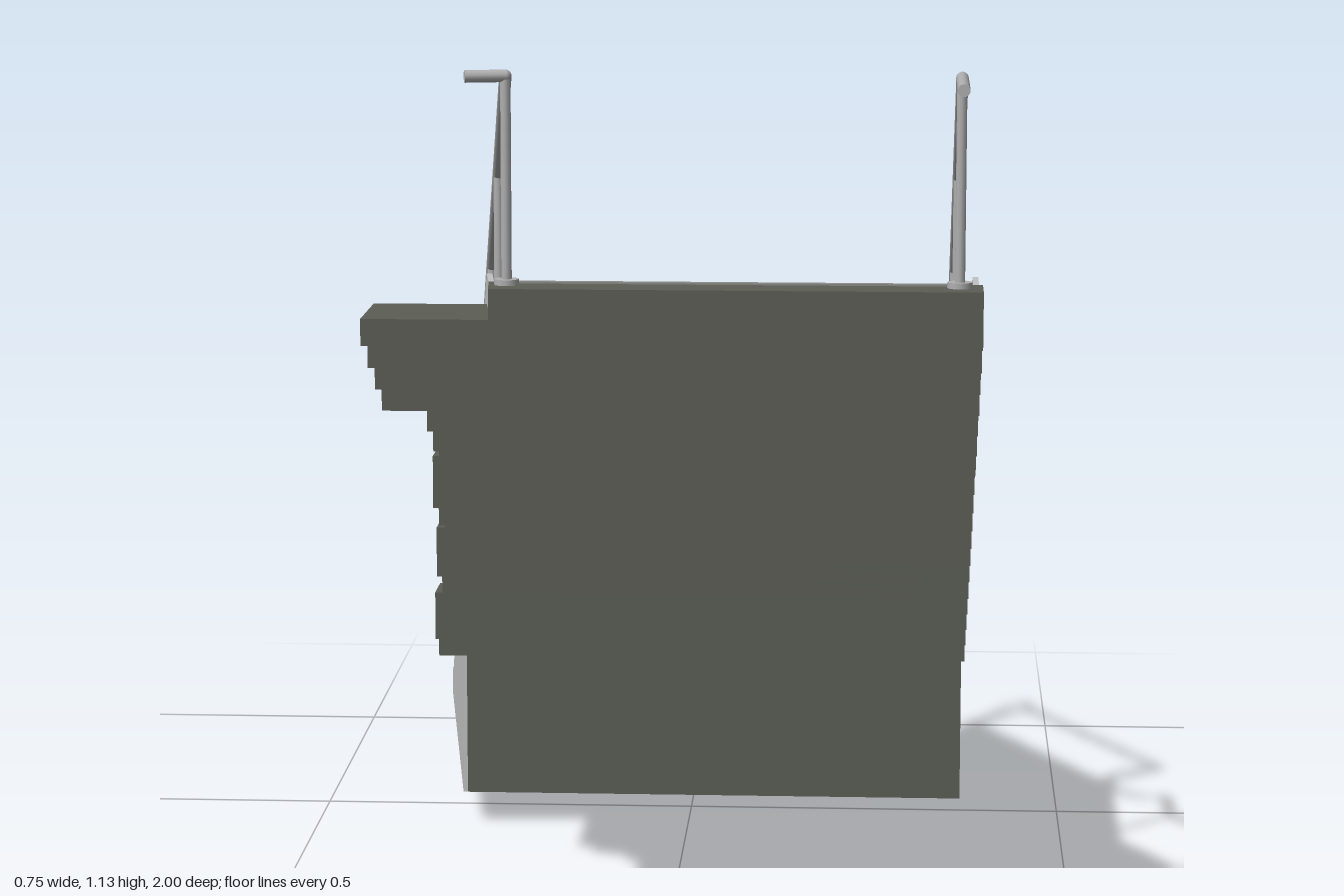
import * as THREE from 'three';

const concrete = new THREE.MeshStandardMaterial({ color: 0x5c5e56 });
concrete.name = 'dark concrete';
const plateSteel = new THREE.MeshStandardMaterial({ color: 0xc2c2c2 });
plateSteel.name = 'light steel plate';
const railSteel = new THREE.MeshStandardMaterial({ color: 0xb0b0b0 });
railSteel.name = 'rail steel';
const nosingGrey = new THREE.MeshStandardMaterial({ color: 0x8c8c88 });
nosingGrey.name = 'nosing grey';

const RISE = 0.032, RUN = 0.058, TOP = 0.905, FRONT = 0.89, RIGHT = 0.366;
const LAND_Y = 0.361, LAND_FRONT = -0.096, LAND_BACK = -0.4, FLOOR = 0.042;

// The right-hand side of the stair runs at a slant
const slantX = (z) => -0.298 + 0.129 * (z + 0.4);

function add(parent, name, geometry, material) {
  const mesh = new THREE.Mesh(geometry, material);
  mesh.name = name;
  parent.add(mesh);
  return mesh;
}

// Vertical prism between z0 (front) and z1 (back), with its own x limit at each end
function slab(parent, name, xa, xb, z0, z1, y0, y1, material = concrete, right = RIGHT) {
  const shape = new THREE.Shape([[xa, -z0], [right, -z0], [right, -z1], [xb, -z1]].map((p) => new THREE.Vector2(...p)));
  const g = new THREE.ExtrudeGeometry(shape, { depth: y1 - y0, bevelEnabled: false });
  g.rotateX(-Math.PI / 2);
  g.translate(0, y0, 0);
  return add(parent, name, g, material);
}

// Thin upright plate with a z-y outline, placed along the line x = lineX(z)
function sidePlate(parent, name, outline, lineX) {
  const shape = new THREE.Shape(outline.map((p) => new THREE.Vector2(...p)));
  const g = new THREE.ExtrudeGeometry(shape, { depth: 0.006, bevelEnabled: false });
  g.rotateY(-Math.PI / 2);
  const pos = g.attributes.position;
  for (let i = 0; i < pos.count; i++) pos.setX(i, pos.getX(i) + lineX(pos.getZ(i)));
  g.computeVertexNormals();
  return add(parent, name, g, plateSteel);
}

// Round bar from a to b
function bar(parent, name, a, b, r) {
  const d = b.clone().sub(a);
  const m = add(parent, name, new THREE.CylinderGeometry(r, r, d.length(), 10), railSteel);
  m.position.copy(a).addScaledVector(d, 0.5);
  m.quaternion.setFromUnitVectors(new THREE.Vector3(0, 1, 0), d.normalize());
}

// Chain of bars with round joints
function handrail(parent, name, points, r) {
  points.forEach((p, i) => {
    if (i === 0) return;
    bar(parent, name, points[i - 1], p, r);
    if (i < points.length - 1) add(parent, name + 'Joint', new THREE.SphereGeometry(r, 10, 8), railSteel).position.copy(p);
  });
}

// Height of the handrail, and of the walking surface, at a given z
function railY(z) {
  if (z >= 0.855) return 1.12;
  if (z >= -0.125) return 0.575 + (z + 0.125) * (0.545 / 0.98);
  if (z >= -0.385) return 0.575;
  return 0.575 + (z + 0.385) * (0.32 / 0.555);
}
function treadY(z) {
  if (z > LAND_FRONT) return TOP - RISE * Math.floor((FRONT - z) / RUN);
  if (z > LAND_BACK) return LAND_Y;
  return Math.max(FLOOR, LAND_Y - RISE * (Math.floor((LAND_BACK - z) / RUN) + 1));
}

function nosing(parent, xa, z, y) {
  slab(parent, 'nosing', xa, xa, z + 0.014, z + 0.006, y, y + 0.002, nosingGrey, 0.35);
}

export function createModel() {
  const model = new THREE.Group();
  model.name = 'staircase';

  // Upper flight: a stepped slab with ragged right-hand ends
  const upper = new THREE.Group();
  upper.name = 'upperFlight';
  model.add(upper);
  const ends = [[0.65, -0.272], [0.45, -0.23], [0.19, -0.25], [-0.04, -0.272], [-1, -0.3]];
  for (let k = 0; k < 17; k++) {
    const z0 = FRONT - RUN * k, z1 = z0 - RUN, y = TOP - RISE * k;
    const x = ends.find((e) => (z0 + z1) / 2 > e[0])[1];
    if (k === 0) {
      slab(upper, 'topStepBase', x, x, z0, z1, y - 0.06, y - RISE);
      slab(upper, 'topStep', -0.14, -0.145, z0, z1, y - RISE, y);
    } else slab(upper, 'step', x, x, z0, z1, y - 0.06, y);
    nosing(upper, slantX(z1) + 0.01, z1, y);
  }

  // Landing
  slab(model, 'landing', -0.302, -0.302, LAND_FRONT, LAND_BACK, LAND_Y - 0.062, LAND_Y);
  nosing(model, slantX(LAND_BACK) + 0.01, LAND_BACK, LAND_Y);

  // Lower flight: solid steps down to the floor
  const lower = new THREE.Group();
  lower.name = 'lowerFlight';
  model.add(lower);
  for (let k = 1; k <= 9; k++) {
    const z1 = LAND_BACK - RUN * k, z0 = z1 + RUN, y = LAND_Y - RISE * k;
    slab(lower, 'step', slantX(z0), slantX(z1), z0, z1, FLOOR, y);
    nosing(lower, slantX(z1) + 0.01, z1, y);
  }

  // Side plates
  const topEdge = [[0.832, 0.905], [0.77, 0.905], [-0.1, 0.4], [-0.395, 0.405], [-0.95, 0.082], [-0.985, 0.082], [-0.985, FLOOR]];
  const upperBottom = [[-0.4, 0.325], [-0.1, 0.325], [0.832, 0.86]];
  sidePlate(model, 'leftSidePlate', [...topEdge, [-0.92, FLOOR], [-0.92, 0], ...upperBottom], () => 0.362);
  sidePlate(model, 'rightSidePlate', [...topEdge, [-0.4, FLOOR], ...upperBottom], slantX);

  // Railings
  const V = (x, y, z) => new THREE.Vector3(x, y, z);
  const sides = [
    { name: 'leftRailing', x: () => 0.342, posts: [0.855, 0.63, 0.395, 0.148, -0.125, -0.385, -0.94] },
    { name: 'rightRailing', x: (z) => slantX(z) + 0.012, posts: [0.855, 0.63, 0.395, 0.148, -0.125, -0.385, -0.57, -0.75, -0.94] },
  ];
  sides.forEach(({ name, x, posts }, s) => {
    const g = new THREE.Group();
    g.name = name;
    model.add(g);
    const at = (z, y = railY(z)) => V(x(z), y, z);
    const path = [s === 0 ? at(1, 1.12) : V(-0.165, 1.12, 0.865), at(0.855), at(-0.125)];
    // The left rail curves inwards around a notch at the landing
    if (s === 0) {
      for (let i = 0; i <= 12; i++) {
        const a = (i / 12) * Math.PI;
        path.push(V(0.342 - 0.08 * Math.sin(a), 0.575, -0.297 + 0.083 * Math.cos(a)));
      }
    }
    // Looped lower end
    path.push(at(-0.385), at(-0.94), at(-0.965, 0.253), at(-0.985, 0.243), at(-0.993, 0.222), at(-0.985, 0.19), at(-0.945, 0.09));
    handrail(g, 'handrail', path, 0.0065);
    posts.forEach((z) => {
      const y = treadY(z);
      bar(g, 'post', at(z, y), at(z), 0.0055);
      add(g, 'postBase', new THREE.CylinderGeometry(0.013, 0.013, 0.006, 12), railSteel).position.copy(at(z, y + 0.003));
    });
  });

  return model;
}
